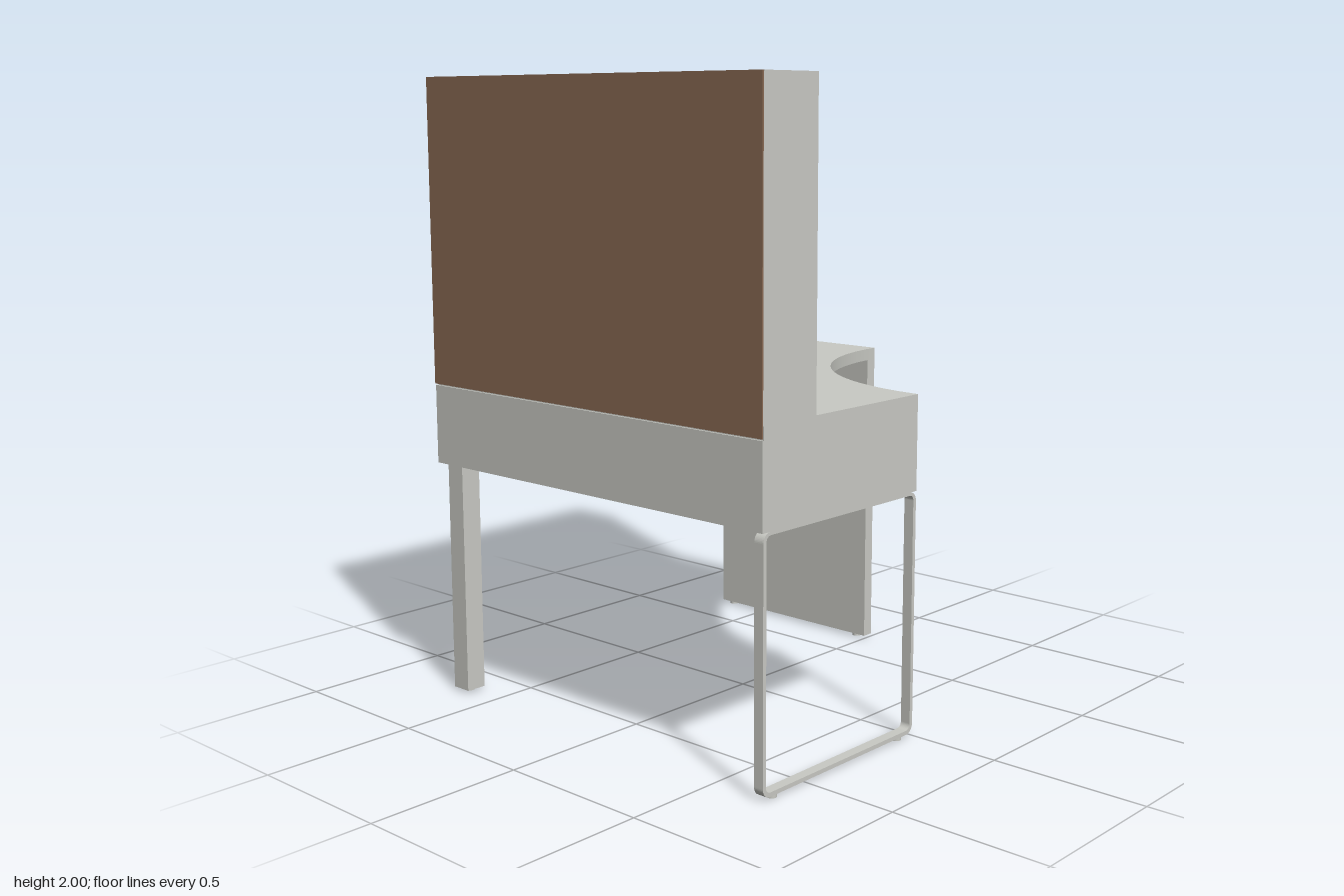
import * as THREE from 'three';

export function createModel() {
  const desk = new THREE.Group();
  desk.name = 'cornerDesk';
  const grey = new THREE.MeshStandardMaterial({ color: 0xc9cac4 });
  grey.name = 'light grey';
  const brown = new THREE.MeshStandardMaterial({ color: 0x886953 });
  brown.name = 'hardboard brown';

  const add = (name, geometry, material = grey) => {
    const mesh = new THREE.Mesh(geometry, material);
    mesh.name = name;
    desk.add(mesh);
    return mesh;
  };
  // Box given by its limits on each axis
  const box = (name, [x0, x1], [y0, y1], [z0, z1], material) =>
    add(name, new THREE.BoxGeometry(x1 - x0, y1 - y0, z1 - z0), material)
      .position.set((x0 + x1) / 2, (y0 + y1) / 2, (z0 + z1) / 2);
  // Horizontal board from a plan outline (shape y = -z)
  const board = (name, shape, y0, y1) => {
    const g = new THREE.ExtrudeGeometry(shape, { depth: y1 - y0, bevelEnabled: false, curveSegments: 32 });
    add(name, g.rotateX(-Math.PI / 2).translate(0, y0, 0));
  };

  const E = 0.7, IN = 0.694;      // outer edge and inside of the back panels
  const LOW = 0.77, UNDER = 1.025, TOP = 1.065, ROOF = 1.965;
  const grommet = { x: -0.575, z: -0.585, r: 0.055 };

  // Desktop with concave front and cable hole
  const top = new THREE.Shape();
  top.moveTo(-IN, -E);
  top.lineTo(0, -E);
  top.absarc(E, -E, E, Math.PI, Math.PI / 2, true);
  top.lineTo(E, IN);
  top.lineTo(-IN, IN);
  top.closePath();
  const hole = new THREE.Path();
  hole.absarc(grommet.x, -grommet.z, grommet.r, 0, Math.PI * 2, true);
  top.holes.push(hole);
  board('desktop', top, UNDER, TOP);

  // Cable grommet: rim and recessed lid
  const rim = [[0.047, -0.03], [0.056, -0.03], [0.056, 0], [0.063, 0], [0.061, 0.005], [0.047, 0.005], [0.047, -0.03]];
  add('grommetRim', new THREE.LatheGeometry(rim.map(p => new THREE.Vector2(...p)), 32))
    .position.set(grommet.x, TOP, grommet.z);
  add('grommetLid', new THREE.CylinderGeometry(0.042, 0.042, 0.006, 32))
    .position.set(grommet.x, TOP - 0.004, grommet.z);

  // Aprons and cable rail
  box('frontApron', [-E, 0], [LOW, UNDER], [0.665, E]);
  box('backApron', [-E, 0.66], [LOW, UNDER], [-E, -0.682]);
  box('sideApron', [-E, -0.682], [LOW, UNDER], [-0.682, 0.665]);
  box('cableRail', [-0.6, 0.66], [LOW, 0.845], [-0.682, -0.672]);

  // Supports: side panel, corner leg and frame leg
  box('sidePanel', [0.66, E], [0.01, UNDER], [-0.695, 0]);
  box('cornerLeg', [-0.677, -0.608], [0.01, UNDER], [-0.677, -0.608]);
  const roundRect = (path, x0, x1, y0, y1, r) => {
    path.moveTo(x0 + r, y0);
    path.lineTo(x1 - r, y0);
    path.absarc(x1 - r, y0 + r, r, -Math.PI / 2, 0, false);
    path.lineTo(x1, y1 - r);
    path.absarc(x1 - r, y1 - r, r, 0, Math.PI / 2, false);
    path.lineTo(x0 + r, y1);
    path.absarc(x0 + r, y1 - r, r, Math.PI / 2, Math.PI, false);
    path.lineTo(x0, y0 + r);
    path.absarc(x0 + r, y0 + r, r, Math.PI, Math.PI * 1.5, false);
    return path;
  };
  const frame = roundRect(new THREE.Shape(), -0.695, 0, 0.01, LOW, 0.03);
  frame.holes.push(roundRect(new THREE.Path(), -0.682, -0.013, 0.023, LOW - 0.01, 0.018));
  add('frameLeg', new THREE.ExtrudeGeometry(frame, { depth: 0.033, bevelEnabled: false, curveSegments: 6 }))
    .position.z = 0.666;
  for (const [x, z] of [[0.68, -0.05], [0.68, -0.655], [-0.642, -0.642], [-0.64, 0.683], [-0.06, 0.683]])
    add('foot', new THREE.CylinderGeometry(0.016, 0.016, 0.012, 16)).position.set(x, 0.006, z);

  // Hutch back panels: brown outside, grey inside
  box('backPanelOuter', [-E, E], [1.03, 2], [-E - 0.003, -E + 0.002], brown);
  box('sidePanelOuter', [-E - 0.003, -E + 0.002], [1.03, 2], [-E, E], brown);
  box('backPanelInner', [-E + 0.002, E], [TOP, 1.998], [-E + 0.002, -IN]);
  box('sidePanelInner', [-E + 0.002, -IN], [TOP, 1.998], [-E + 0.002, E]);
  box('cornerPost', [-IN, -0.63], [TOP, ROOF], [-IN, -0.63]);

  // Hutch corner roof
  const roof = new THREE.Shape([[-IN, IN], [0.14, IN], [0.14, 0.475], [-0.475, -0.14], [-IN, -0.14]]
    .map(p => new THREE.Vector2(...p)));
  board('cornerRoof', roof, ROOF, 2);

  // Two shelf wings, one along the back and one along the side
  const wing = (name, part, along, y, depth = [-IN, -0.475]) =>
    name === 'back' ? box('backWing' + part, along, y, depth) : box('sideWing' + part, depth, y, along);
  const shelves = {
    back: [[1.645, 1.66], [1.325, 1.34]],
    side: [[1.74, 1.755], [1.51, 1.525], [1.067, 1.085]],
  };
  for (const name of ['back', 'side']) {
    wing(name, 'InnerUpright', [0.14, 0.182], [TOP, 2]);
    wing(name, 'OuterUpright', [0.66, E], [TOP, 2]);
    wing(name, 'Roof', [0.182, 0.66], [ROOF, 2]);
    for (const y of shelves[name]) wing(name, 'Shelf', [0.182, 0.66], y, [-IN, -0.48]);
  }
  wing('side', 'Door', [0.186, 0.656], [1.087, 1.485], [-0.495, -0.477]);

  return desk;
}
